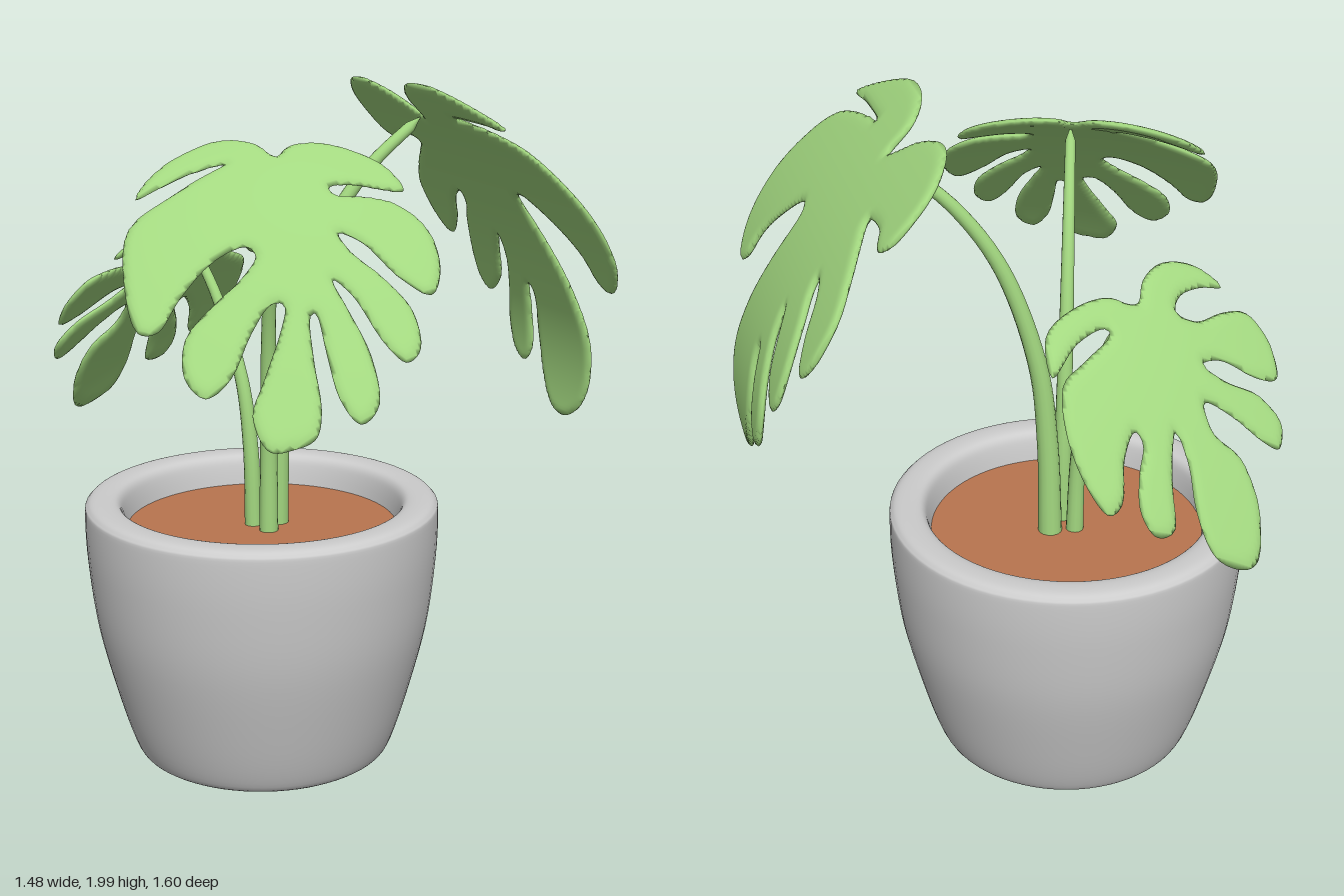
import * as THREE from 'three';
import { mergeVertices } from 'three/addons/utils/BufferGeometryUtils.js';

const V = (x, y, z) => new THREE.Vector3(x, y, z);
const grey = new THREE.MeshStandardMaterial({ color: 0xcccccc });
const green = new THREE.MeshStandardMaterial({ color: 0xa3d880 });
const brown = new THREE.MeshStandardMaterial({ color: 0xb9754f });

function add(group, name, geometry, material) {
  const mesh = new THREE.Mesh(geometry, material);
  mesh.name = name;
  group.add(mesh);
  return mesh;
}

// Smooth closed outline through points given in hundredths.
function smoothOutline(flat) {
  const pts = [];
  for (let i = 0; i < flat.length; i += 2) pts.push(V(flat[i] / 100, flat[i + 1] / 100, 0));
  return new THREE.CatmullRomCurve3(pts, true, 'centripetal').getPoints(pts.length * 4).slice(0, -1);
}

// Signed distance to the outline, positive inside.
function insideDistance(poly, x, y) {
  let best = Infinity, inside = false;
  for (let i = 0, j = poly.length - 1; i < poly.length; j = i++) {
    const a = poly[i], b = poly[j], ex = b.x - a.x, ey = b.y - a.y;
    const k = THREE.MathUtils.clamp(((x - a.x) * ex + (y - a.y) * ey) / (ex * ex + ey * ey || 1), 0, 1);
    best = Math.min(best, Math.hypot(x - a.x - k * ex, y - a.y - k * ey));
    if ((a.y > y) !== (b.y > y) && x < (ex * (y - a.y)) / ey + a.x) inside = !inside;
  }
  return inside ? best : -best;
}

// Cushioned leaf blade: a grid clipped to the outline, laid on a curved surface.
function leafGeometry(flat, surface) {
  const poly = smoothOutline(flat), box = new THREE.Box3().setFromPoints(poly);
  const step = 0.01, halfThickness = 0.011, softEdge = 0.025, eps = 0.002;
  const nx = Math.ceil((box.max.x - box.min.x) / step) + 2;
  const ny = Math.ceil((box.max.y - box.min.y) / step) + 2;
  const nodes = [];
  for (let j = 0; j <= ny; j++) {
    for (let i = 0; i <= nx; i++) {
      const x = box.min.x + (i - 1) * step, y = box.min.y + (j - 1) * step;
      nodes.push(V(x, y, insideDistance(poly, x, y)));
    }
  }
  const positions = [];
  const put = (p, side) => {
    const k = 1 - Math.min(1, Math.max(0, p.z) / softEdge);
    const base = surface(p.x, p.y);
    const du = surface(p.x + eps, p.y).sub(base), dv = surface(p.x, p.y + eps).sub(base);
    base.addScaledVector(du.cross(dv).normalize(), side * halfThickness * Math.sqrt(1 - k * k));
    positions.push(base.x, base.y, base.z);
  };
  const clip = (tri) => {
    const kept = [];
    tri.forEach((a, i) => {
      const b = tri[(i + 1) % 3];
      if (a.z >= 0) kept.push(a);
      if ((a.z >= 0) !== (b.z >= 0)) {
        const cut = a.clone().lerp(b, a.z / (a.z - b.z));
        cut.z = 0;
        kept.push(cut);
      }
    });
    for (let i = 1; i + 1 < kept.length; i++) {
      [kept[0], kept[i], kept[i + 1]].forEach((p) => put(p, 1));
      [kept[0], kept[i + 1], kept[i]].forEach((p) => put(p, -1));
    }
  };
  for (let j = 0; j < ny; j++) {
    for (let i = 0; i < nx; i++) {
      const a = nodes[j * (nx + 1) + i], b = nodes[j * (nx + 1) + i + 1];
      const c = nodes[(j + 1) * (nx + 1) + i + 1], d = nodes[(j + 1) * (nx + 1) + i];
      clip([a, b, c]);
      clip([a, c, d]);
    }
  }
  const geometry = new THREE.BufferGeometry();
  geometry.setAttribute('position', new THREE.Float32BufferAttribute(positions, 3));
  const merged = mergeVertices(geometry, 1e-5);
  merged.computeVertexNormals();
  return merged;
}

// Leaf surface over the ground plane, drooping along an axis and to both sides.
function droop(x0, y0, z0, ax, az, a, b, c) {
  return (x, z) => {
    const s = (x - x0) * ax + (z - z0) * az, t = (x - x0) * -az + (z - z0) * ax;
    return V(x, y0 - a * s - b * s * s - c * t * t, z);
  };
}

// Tapering tube with closed ends.
function stemGeometry(points, r0, r1) {
  const curve = new THREE.CatmullRomCurve3(points.map((p) => V(...p)));
  const rings = 32, sides = 14;
  const g = new THREE.TubeGeometry(curve, rings, 1, sides);
  const pos = g.attributes.position, p = V(0, 0, 0);
  for (let i = 0; i <= rings; i++) {
    const c = curve.getPointAt(i / rings);
    const r = i === rings ? 0.001 : r0 + ((r1 - r0) * i) / rings;
    for (let j = 0; j <= sides; j++) {
      const k = i * (sides + 1) + j;
      p.fromBufferAttribute(pos, k).sub(c).multiplyScalar(r).add(c);
      pos.setXYZ(k, p.x, p.y, p.z);
    }
  }
  return g;
}

// Side leaf outline in (z, y); the other two in (x, z).
const sideLeaf = [
  -3, 189, -1, 195, 6, 199, 20, 200, 34, 195.5, 43, 190, 32, 190.5, 17, 190.5, 32, 188, 43, 184,
  50, 174, 53, 163, 51, 150, 44, 142.5, 39, 145, 36, 153, 29, 161.5, 20, 168, 16, 166, 17, 156,
  22, 139, 26, 123, 23, 106, 15, 99.5, 7, 101, 1, 110, -1, 123, 0, 135, -2, 137, -4.5, 126,
  -6, 115, -10, 111, -15, 114, -17, 123, -14, 134, -10, 145, -9.5, 151, -14, 145, -19, 135, -27, 130,
  -31, 134, -31, 142, -26, 153, -20, 160, -19, 163, -26, 160, -34, 151, -41, 146, -46, 152, -45, 162,
  -36, 170, -28, 175, -22, 179, -31, 180, -39, 177.5, -43, 181, -41, 190, -33, 196, -23, 198, -12, 195, -6, 190.5,
];
const frontLeaf = [
  -26, 18, -29, 11, -36, 5.5, -46, 4, -57, 6, -63, 10, -50, 11.5, -39, 14, -55, 15.3, -68, 17,
  -74, 28, -75.5, 40, -71, 43, -64, 40, -53, 37, -44, 38, -43, 41, -49, 44, -57, 45.5, -66, 48,
  -69, 54, -66, 60, -59, 60, -51, 55, -44, 52, -41, 53.5, -44, 57.5, -52, 64, -57, 68, -56, 74.5,
  -50, 77, -44, 77.5, -41, 74, -39, 66, -36, 58, -34.5, 58, -35.5, 66, -36, 74, -33, 79.5, -27, 78,
  -25, 70, -26.5, 60, -27.5, 53, -24, 58, -21, 68, -17, 73.5, -12, 72, -10.5, 65, -14.5, 57, -20, 49,
  -21, 44, -16, 48, -11, 57, -4, 63, 1.5, 58, 3, 49, -2, 41, -10, 37, -17, 34.5, -17.5, 32,
  -11, 33, -4, 36, 2, 37.5, 1, 30, -6, 22, -15, 16.5, -22, 16,
];
const backLeaf = [
  -28, -36.5, -31, -31, -38, -25.5, -48, -24, -55, -27.5, -48, -29.5, -41, -33, -38.5, -37, -44, -38, -53, -34,
  -61, -32, -66, -37, -66, -44, -59, -46, -49, -45, -43, -47, -49, -49, -59, -49.5, -64, -53, -62, -58,
  -57, -58, -49, -55.5, -41, -54.5, -42, -59.5, -49, -62.5, -52, -69, -49.5, -78, -44, -80.5, -36, -79.5, -33, -73.5,
  -33, -66, -31, -61, -28.5, -66, -27, -72, -26, -77, -20, -78.5, -17, -75, -18.5, -69, -21, -64, -19.5, -62,
  -15, -67, -12.5, -74, -8, -76, -3, -71, -0.5, -63, -2, -54.5, -9, -50, -18, -44, -17, -43, -8, -46.5,
  0.5, -53, 0, -45, -9, -39, -20, -36, -25, -37,
];

export function createModel() {
  const model = new THREE.Group();
  model.name = 'pottedPlant';

  // Pot and soil
  const pot = new THREE.Group();
  pot.name = 'pot';
  pot.position.set(-0.17, 0, -0.115);
  model.add(pot);
  const profile = [
    [0, 0.01], [0.2, 0.008], [0.3, 0.01], [0.355, 0.022], [0.385, 0.06], [0.43, 0.2], [0.485, 0.42], [0.51, 0.62],
    [0.515, 0.76], [0.508, 0.788], [0.485, 0.8], [0.44, 0.8], [0.415, 0.787], [0.402, 0.75], [0.39, 0.68],
  ].map(([r, y]) => new THREE.Vector2(r, y));
  const curve = new THREE.SplineCurve(profile).getPoints(70);
  curve.forEach((p) => { p.x = Math.max(0, p.x); });
  add(pot, 'potShell', new THREE.LatheGeometry(curve, 72), grey);
  add(pot, 'soil', new THREE.CylinderGeometry(0.396, 0.39, 0.04, 64), brown).position.y = 0.69;

  // Stems
  add(model, 'sideStem', stemGeometry([[-0.12, 0.68, -0.12], [-0.11, 1, -0.115], [-0.08, 1.25, -0.11],
    [0.02, 1.55, -0.09], [0.15, 1.74, -0.07], [0.31, 1.88, -0.05]], 0.035, 0.016), green);
  add(model, 'frontStem', stemGeometry([[-0.175, 0.68, -0.06], [-0.175, 1, -0.055], [-0.19, 1.3, -0.02],
    [-0.22, 1.58, 0.07], [-0.262, 1.82, 0.2]], 0.028, 0.014), green);
  add(model, 'backStem', stemGeometry([[-0.19, 0.68, -0.13], [-0.195, 0.95, -0.137], [-0.207, 1.15, -0.17],
    [-0.24, 1.38, -0.27], [-0.277, 1.525, -0.365]], 0.026, 0.013), green);

  // Leaves
  const sideSurface = (z, y) => V(0.715 - 0.685 * (y - 1.12) ** 2, y, z);
  add(model, 'sideLeaf', leafGeometry(sideLeaf, sideSurface), green);
  add(model, 'frontLeaf', leafGeometry(frontLeaf,
    droop(-0.26, 1.825, 0.2, -0.39, 0.92, 0.6, 0.62, 0.37)), green);
  add(model, 'backLeaf', leafGeometry(backLeaf,
    droop(-0.28, 1.53, -0.37, -0.31, -0.95, 0.9, 0.8, 0.37)), green);

  return model;
}
